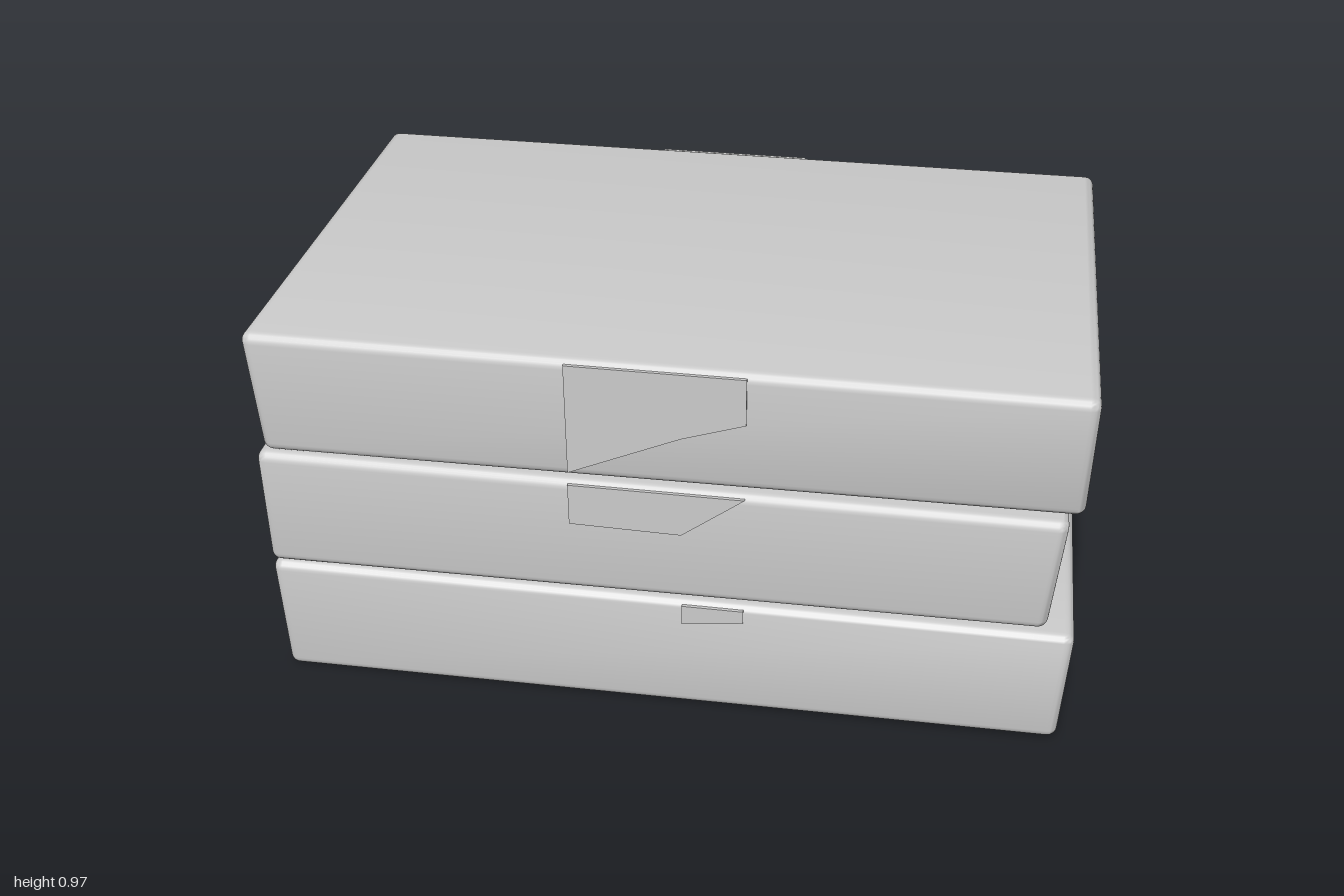
import * as THREE from 'three';
import { RoundedBoxGeometry } from 'three/addons/geometries/RoundedBoxGeometry.js';
import { mergeVertices, toCreasedNormals } from 'three/addons/utils/BufferGeometryUtils.js';

const cardboard = new THREE.MeshStandardMaterial({ color: 0xcccccc });
cardboard.name = 'grey cardboard';

// Each carton: height range, front/back z, and end positions [bottom, top]
const cartons = [
  { name: 'bottomCarton', y: [0.006, 0.334], z: [-0.607, 0.613], left: [-0.98, -0.99], right: [0.98, 0.995],
    front: [[0.05, 0.325], [0.05, 0.27], [0.2, 0.29], [0.2, 0.325]] },
  { name: 'middleCarton', y: [0.336, 0.658], z: [-0.607, 0.612], left: [-0.99, -0.99], right: [0.925, 0.95],
    front: [[-0.22, 0.65], [-0.22, 0.54], [0.05, 0.535], [0.2, 0.65]] },
  { name: 'topCarton', y: [0.66, 0.98], z: [-0.607, 0.604], left: [-0.97, -0.99], right: [0.98, 0.985],
    front: [[-0.22, 0.97], [-0.22, 0.68], [0.05, 0.8], [0.2, 0.85], [0.2, 0.97]] },
];

// Soft-edged box whose ends lean, with slightly crushed right-hand corners
function cartonGeometry(c) {
  const h = c.y[1] - c.y[0], d = c.z[1] - c.z[0];
  let g = new RoundedBoxGeometry(2, h, d, 3, 0.025);
  g.deleteAttribute('normal');
  g.deleteAttribute('uv');
  g = mergeVertices(g, 1e-4);
  const p = g.attributes.position;
  for (let i = 0; i < p.count; i++) {
    const x = p.getX(i), y = p.getY(i), z = p.getZ(i);
    const t = y / h + 0.5, u = (x + 1) / 2, s = z / d + 0.5;
    const a = THREE.MathUtils.lerp(c.left[0], c.left[1], t);
    const b = THREE.MathUtils.lerp(c.right[0], c.right[1], t) + 0.012 * (0.5 - s);
    const sag = 0.015 * u * s * (1 - t);
    p.setXYZ(i, THREE.MathUtils.lerp(a, b, u), y + c.y[0] + h / 2 + sag, z + (c.z[0] + c.z[1]) / 2);
  }
  return toCreasedNormals(g, 0.7);
}

// Thin tape patch cut to an outline in the xy plane
function tape(name, outline, z) {
  const shape = new THREE.Shape(outline.map(([x, y]) => new THREE.Vector2(x, y)));
  const mesh = new THREE.Mesh(new THREE.ExtrudeGeometry(shape, { depth: 0.008, bevelEnabled: false }), cardboard);
  mesh.name = name;
  mesh.position.z = z;
  return mesh;
}

export function createModel() {
  const model = new THREE.Group();
  model.name = 'cartonStack';
  for (const c of cartons) {
    const group = new THREE.Group();
    group.name = c.name;
    const body = new THREE.Mesh(cartonGeometry(c), cardboard);
    body.name = 'cartonBody';
    const top = c.y[1] - 0.008, low = c.y[1] - 0.11;
    const back = [[-0.2, top], [-0.2, low], [0.2, low], [0.2, top]];
    group.add(body, tape('frontTape', c.front, c.z[1] - 0.003), tape('backTape', back, c.z[0] - 0.007));
    model.add(group);
  }
  return model;
}
